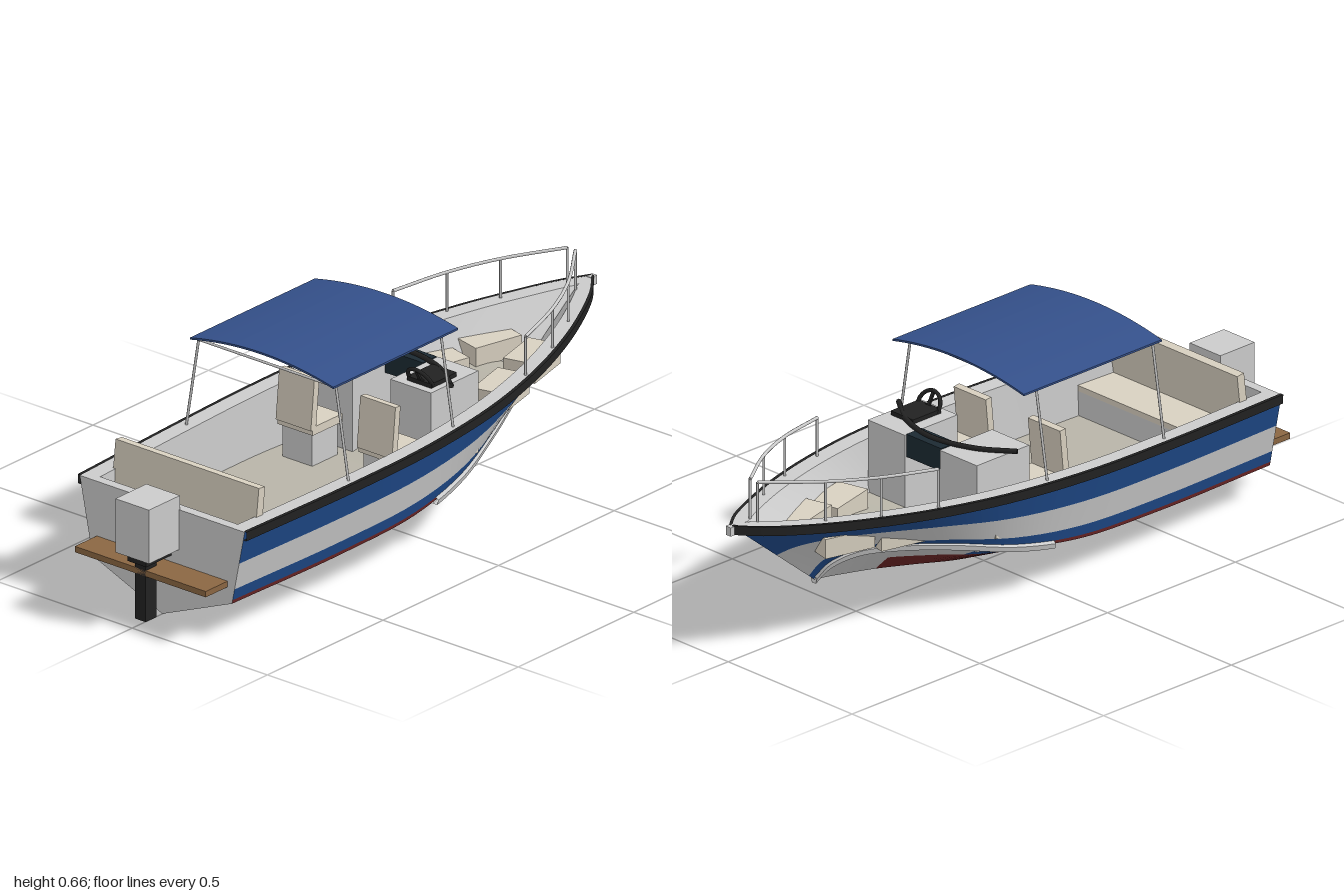
import * as THREE from 'three';

const GREY = 0xcccccc, BLUE = 0x1f4a8a, RED = 0x6e2626, BLACK = 0x222222, CREAM = 0xd8d0c0, FLOOR = 0xb8b4a8;
const V = (x, y, z) => new THREE.Vector3(x, y, z);
const mat = (color) => new THREE.MeshStandardMaterial({ color, side: THREE.DoubleSide });

export function createModel() {
  const boat = new THREE.Group();
  boat.name = 'motorBoat';

  const add = (name, geo, color) => {
    const m = new THREE.Mesh(geo, mat(color));
    m.name = name;
    boat.add(m);
    return m;
  };
  // Box given by its extents
  const box = (name, x0, x1, y0, y1, z0, z1, color = GREY) => {
    const m = add(name, new THREE.BoxGeometry(x1 - x0, y1 - y0, z1 - z0), color);
    m.position.set((x0 + x1) / 2, (y0 + y1) / 2, (z0 + z1) / 2);
    return m;
  };
  const tube = (name, pts, r, color = GREY) =>
    add(name, new THREE.TubeGeometry(new THREE.CatmullRomCurve3(pts), pts.length > 2 ? 32 : 1, r, 8), color);

  // Ruled strip between two edge functions, built on both sides of the boat
  const strip = (name, a, b, color, t0 = 0, t1 = 1, n = 40) => {
    for (const s of [1, -1]) {
      const pos = [], idx = [];
      for (let i = 0; i <= n; i++) {
        const t = t0 + (t1 - t0) * i / n;
        for (const p of [a(t), b(t)]) pos.push(p.x, p.y, p.z * s);
        if (i < n) {
          const k = i * 2;
          if (s > 0) idx.push(k, k + 2, k + 1, k + 1, k + 2, k + 3);
          else idx.push(k, k + 1, k + 2, k + 1, k + 3, k + 2);
        }
      }
      const g = new THREE.BufferGeometry();
      g.setAttribute('position', new THREE.Float32BufferAttribute(pos, 3));
      g.setIndex(idx);
      g.computeVertexNormals();
      add(name + (s > 0 ? 'Right' : 'Left'), g, color);
    }
  };

  // Hull lines: stern to bow, matched station by station
  const line = (pts) => {
    const c = new THREE.CatmullRomCurve3(pts.map((p) => V(...p)));
    return (t) => { const p = c.getPoint(t); p.z = Math.max(0, p.z); return p; };
  };
  const sheer = line([[-.87, .338, .305], [-.42, .343, .323], [-.1, .35, .325], [.2, .362, .302], [.45, .374, .25],
    [.65, .386, .185], [.8, .396, .12], [.92, .407, .055], [.99, .415, 0]]);
  const chine = line([[-.87, .105, .258], [-.42, .11, .275], [-.1, .125, .278], [.12, .16, .255], [.32, .21, .2],
    [.47, .235, .14], [.58, .235, .085], [.64, .2, .035], [.665, .15, 0]]);
  const keel = line([[-.87, 0, 0], [-.42, 0, 0], [-.15, .003, 0], [.08, .03, 0], [.28, .075, 0],
    [.43, .108, 0], [.55, .13, 0], [.62, .142, 0], [.665, .148, 0]]);
  const side = (f0, f1 = f0) => (t) => chine(t).lerp(sheer(t), f0 + (f1 - f0) * t * t);
  const shift = (edge, dy, dz) => (t) => {
    const p = edge(t);
    return V(p.x, p.y + dy, Math.max(0, p.z + dz));
  };

  // Painted bottom, two planks a side
  const mid = (t) => keel(t).lerp(chine(t), .5);
  strip('bottomInner', keel, mid, RED, 0, .62);
  strip('bottomInnerBow', keel, mid, GREY, .62, 1);
  strip('bottomOuter', mid, chine, RED, 0, .28);
  strip('bottomOuterBand', mid, chine, BLUE, .28, .43);
  strip('bottomOuterBow', mid, chine, GREY, .43, 1);

  // Striped topsides
  strip('bootStripe', chine, side(.05, 0), RED);
  strip('lowerStripe', side(.05, 0), side(.2, .06), BLUE);
  strip('middleStripe', side(.2, .06), side(.56, .45), GREY);
  strip('upperStripe', side(.56, .45), sheer, BLUE);

  // Spray rails along the forward chine
  const railOut = shift(chine, .004, .012), railLow = shift(chine, -.012, .008);
  strip('sprayRailTop', shift(chine, .012, 0), railOut, GREY, .3, 1);
  strip('sprayRailFace', railOut, railLow, GREY, .3, 1);
  strip('sprayRailUnder', railLow, shift(chine, -.012, -.01), GREY, .3, 1);

  // Black rub rail around the sheer
  const rubTop = shift(sheer, .002, .007), rubLow = shift(sheer, -.026, .006);
  strip('rubRailTop', shift(sheer, .002, -.004), rubTop, BLACK);
  strip('rubRailFace', rubTop, rubLow, BLACK);
  strip('rubRailUnder', rubLow, shift(sheer, -.026, -.008), BLACK);
  box('bowCap', .975, 1, .388, .415, -.01, .01);

  // Gunwale, inner walls and floor
  const inner = shift(sheer, 0, -.052);
  const floorEdge = (t) => {
    const c = chine(t), s = sheer(t), y = Math.max(.17, c.y + .03);
    const p = c.lerp(s, (y - c.y) / (s.y - c.y));
    return V(p.x, y, Math.max(0, Math.min(p.z - .025, inner(t).z)));
  };
  strip('gunwale', sheer, inner, GREY);
  strip('innerWall', inner, floorEdge, GREY);
  strip('floor', floorEdge, (t) => floorEdge(t).setZ(0), FLOOR);

  // Transom
  const section = [sheer(0), chine(0), keel(0)];
  const outline = [...section.map((p) => new THREE.Vector2(p.z, p.y)),
    ...section.slice(0, 2).reverse().map((p) => new THREE.Vector2(-p.z, p.y))];
  const transom = new THREE.ExtrudeGeometry(new THREE.Shape(outline), { depth: .03, bevelEnabled: false });
  add('transom', transom.rotateY(-Math.PI / 2).translate(-.84, 0, 0), GREY);

  // Outboard motor and swim platform
  box('motorCowl', -1, -.866, .215, .38, -.062, .062);
  box('motorBracket', -.98, -.866, .19, .216, -.035, .035, BLACK);
  box('motorLeg', -.965, -.918, .012, .2, -.02, .02, BLACK);
  box('swimPlatform', -.965, -.868, .152, .17, -.242, .242, 0x8a6642);

  // Stern bench
  box('benchBase', -.78, -.62, .165, .245, -.262, .262);
  box('benchCushion', -.78, -.62, .245, .262, -.262, .262, CREAM);
  box('benchBack', -.772, -.745, .255, .424, -.265, .265, CREAM).rotation.z = -.12;

  for (const s of [1, -1]) {
    const zBox = (name, x0, x1, y0, y1, z, w, color) => box(name, x0, x1, y0, y1, s * z - w / 2, s * z + w / 2, color);

    // Helm seats and consoles
    zBox('helmSeatBase', -.11, .0, .165, .27, .15, .11);
    zBox('helmSeatCushion', -.12, .01, .27, .295, .15, .13, CREAM);
    zBox('helmSeatBack', -.12, -.098, .285, .44, .15, .13, CREAM).rotation.z = -.1;
    zBox('console', .035, .24, .17, .437, .145, .15);

    // Bow cushions angled along the sides
    for (const [x, z, y] of [[.455, .12, .245], [.635, .08, .265]]) {
      const seat = zBox('bowCushion', x - .08, x + .08, y, y + .06, z, .1, CREAM);
      seat.rotation.y = s * .24;
    }
    // Locker corners at the forward end of the cockpit
    zBox('sideLocker', .1, .2, .21, .25, .225, .06, CREAM);

    // Bow rail with stanchions
    const rail = [[.415, .49, .245], [.59, .503, .195], [.74, .514, .125], [.9, .526, .015]].map(([x, y, z]) => V(x, y, s * z));
    tube('bowRail', rail, .005);
    rail.forEach((p, i) => tube('railPost', [p, V(p.x, .372 + i * .011, p.z)], .004));

    // Canopy legs
    for (const x of [-.415, .04]) tube('canopyPost', [V(x, .34, s * .3), V(x, .617, s * .254)], .004);
  }

  // Canopy frame and arched top
  for (const x of [-.415, .04]) tube('canopyBar', [V(x, .617, -.254), V(x, .617, .254)], .004);
  const canopy = new THREE.BoxGeometry(.54, .006, .53, 1, 1, 24);
  const cp = canopy.attributes.position;
  for (let i = 0; i < cp.count; i++) cp.setY(i, cp.getY(i) + .655 - .03 * (cp.getZ(i) / .265) ** 2);
  canopy.computeVertexNormals();
  add('canopy', canopy, 0x34508a).position.x = -.17;

  // Wraparound windscreen bar with dark centre panel
  tube('windscreenBar', [V(.1, .444, -.24), V(.17, .444, -.14), V(.205, .444, 0), V(.17, .444, .14), V(.1, .444, .24)], .008, BLACK);
  box('windscreenPanel', .175, .235, .37, .44, -.07, .07, 0x1c2a33);

  // Steering wheel and dash
  box('dash', .06, .17, .436, .45, .11, .2, BLACK);
  const wheel = new THREE.Group();
  wheel.name = 'steeringWheel';
  const rim = new THREE.Mesh(new THREE.TorusGeometry(.042, .006, 8, 24), mat(BLACK));
  rim.name = 'wheelRim';
  wheel.add(rim);
  for (let i = 0; i < 3; i++) {
    const spoke = new THREE.Mesh(new THREE.BoxGeometry(.01, .042, .006).translate(0, .021, 0), mat(BLACK));
    spoke.name = 'wheelSpoke';
    spoke.rotation.z = i * Math.PI * 2 / 3;
    wheel.add(spoke);
  }
  wheel.position.set(.065, .45, .155);
  wheel.rotation.set(0, Math.PI / 2, .5, 'ZYX');
  boat.add(wheel);

  return boat;
}
